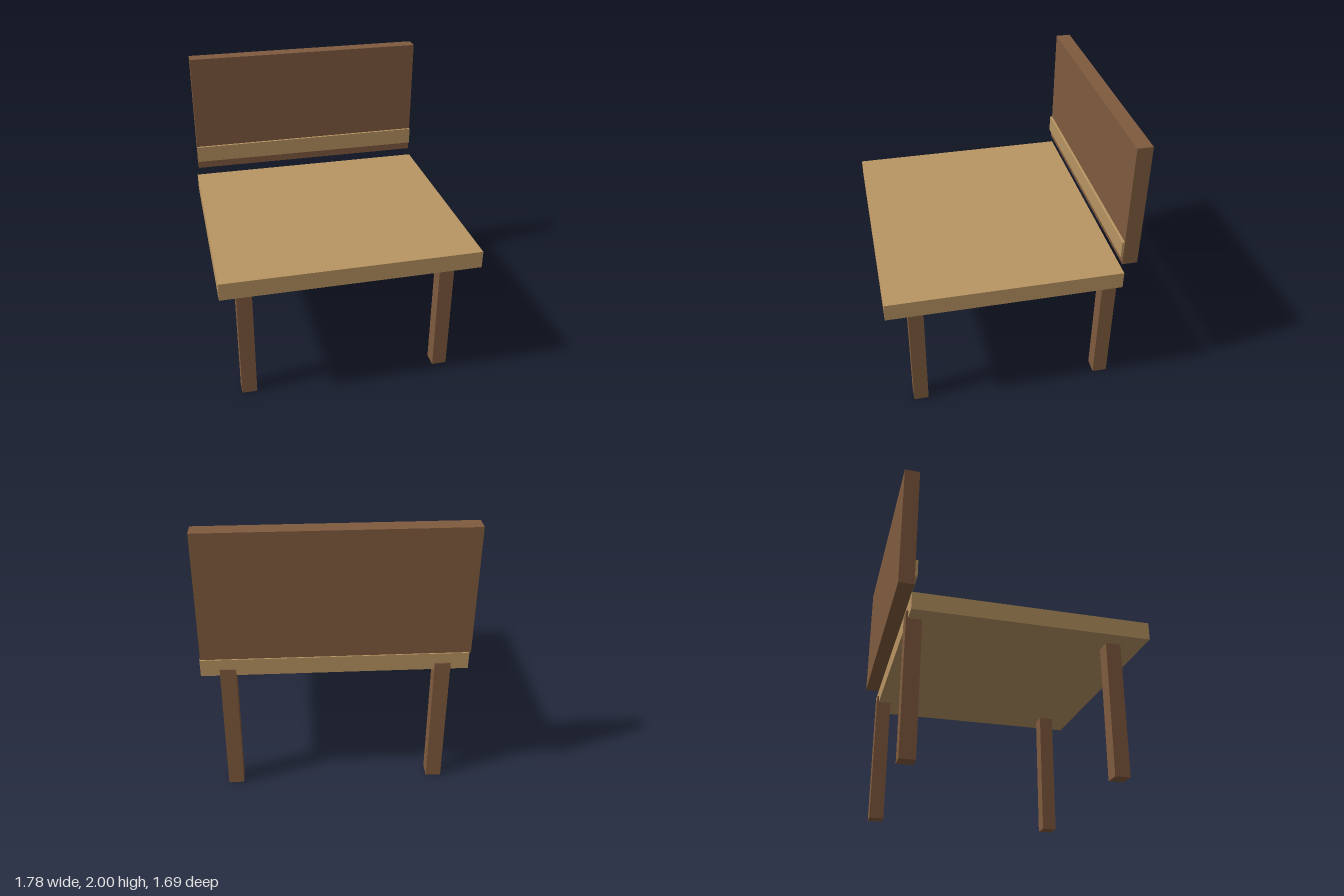
import * as THREE from 'three';

const darkWood = new THREE.MeshStandardMaterial({ color: 0x7f5a3e });
const lightWood = new THREE.MeshStandardMaterial({ color: 0xb89462 });

// Box given by its extents along each axis
function board(name, [x0, x1], [y0, y1], [z0, z1], material) {
  const mesh = new THREE.Mesh(new THREE.BoxGeometry(x1 - x0, y1 - y0, z1 - z0), material);
  mesh.position.set((x0 + x1) / 2, (y0 + y1) / 2, (z0 + z1) / 2);
  mesh.name = name;
  return mesh;
}

export function createModel() {
  const chair = new THREE.Group();
  chair.name = 'chair';

  // Seat slab
  chair.add(board('seat', [-0.888, 0.888], [0.928, 1.05], [-0.757, 0.845], lightWood));

  // Floating backrest with a pale rail across its lower front
  chair.add(board('backrest', [-0.873, 0.87], [1.115, 2], [-0.845, -0.741], darkWood));
  chair.add(board('backRail', [-0.872, 0.869], [1.175, 1.297], [-0.76, -0.724], lightWood));

  // Legs run up into the seat; the back pair stands slightly proud of its rear edge
  for (const [side, x] of [['Right', -0.713], ['Left', 0.708]]) {
    for (const [end, z] of [['front', 0.635], ['back', -0.718]]) {
      chair.add(board(`${end}${side}Leg`, [x - 0.053, x + 0.053], [0, 0.98], [z - 0.052, z + 0.052], darkWood));
    }
  }
  return chair;
}
